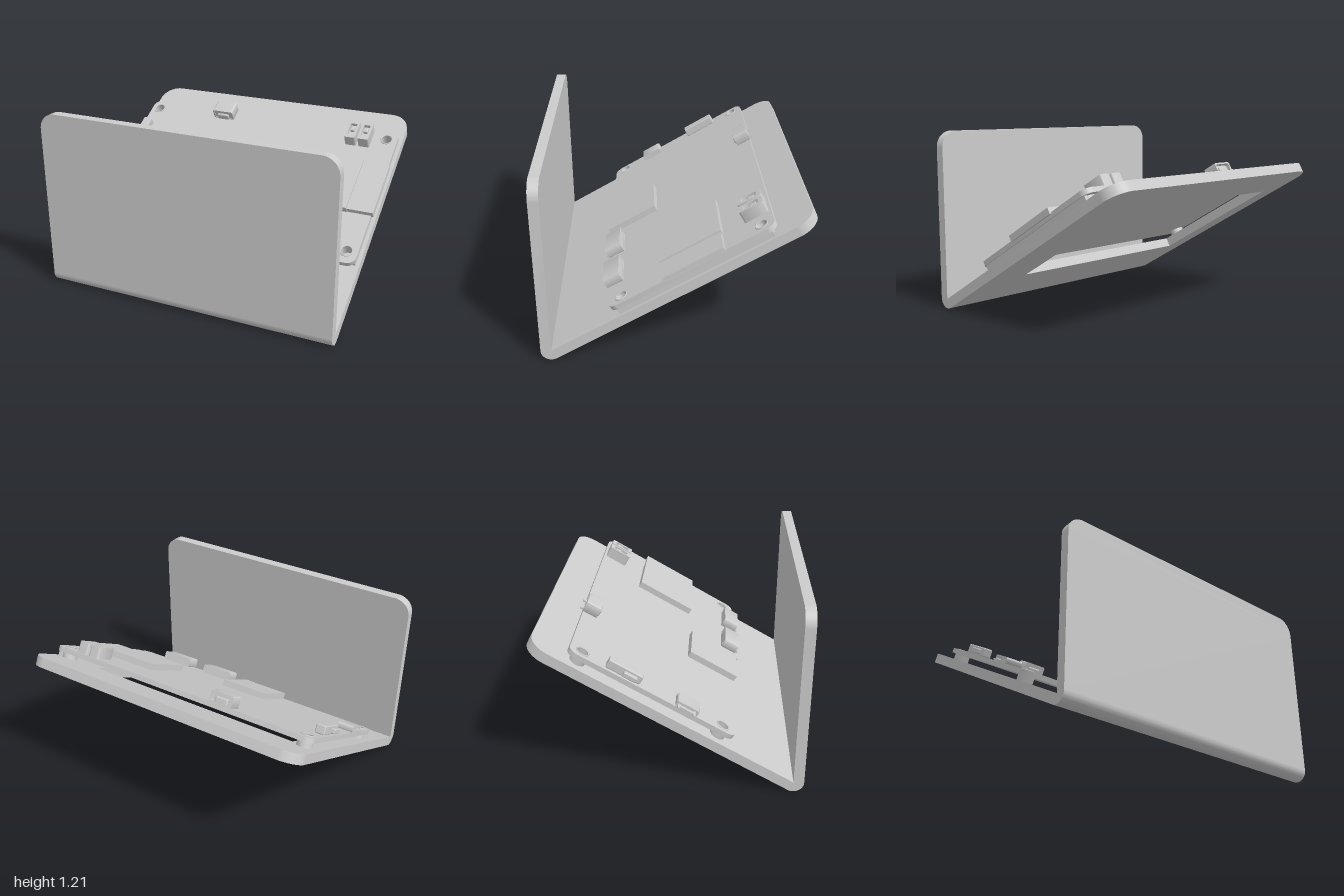
import * as THREE from 'three';
import { toCreasedNormals } from 'three/addons/utils/BufferGeometryUtils.js';
import { RoundedBoxGeometry } from 'three/addons/geometries/RoundedBoxGeometry.js';

const T = 0.066; // thickness of the folded stand
const BOARD_TOP = 0.073;
const grey = new THREE.MeshStandardMaterial({ color: 0xcccccc });

function add(parent, name, geometry, x = 0, y = 0, z = 0) {
  const mesh = new THREE.Mesh(geometry, grey);
  mesh.name = name;
  mesh.position.set(x, y, z);
  parent.add(mesh);
  return mesh;
}

// Rectangle with separate corner radii for the low and high edges
function roundRect(x0, y0, x1, y1, rLow, rHigh, PathType = THREE.Shape) {
  const p = new PathType();
  p.moveTo(x0 + rLow, y0);
  p.lineTo(x1 - rLow, y0);
  if (rLow) p.absarc(x1 - rLow, y0 + rLow, rLow, -Math.PI / 2, 0);
  p.lineTo(x1, y1 - rHigh);
  if (rHigh) p.absarc(x1 - rHigh, y1 - rHigh, rHigh, 0, Math.PI / 2);
  p.lineTo(x0 + rHigh, y1);
  if (rHigh) p.absarc(x0 + rHigh, y1 - rHigh, rHigh, Math.PI / 2, Math.PI);
  p.lineTo(x0, y0 + rLow);
  if (rLow) p.absarc(x0 + rLow, y0 + rLow, rLow, Math.PI, Math.PI * 1.5);
  return p;
}

function extrude(shape, depth) {
  const g = new THREE.ExtrudeGeometry(shape, { depth, bevelEnabled: false, curveSegments: 12 });
  return toCreasedNormals(g, 0.6);
}

// Box given by its limits along x, along the slope and above it
function block(parent, name, x0, x1, y0, y1, z0, z1, r = 0) {
  const s = [x1 - x0, y1 - y0, z1 - z0];
  const g = r ? new RoundedBoxGeometry(...s, 2, r) : new THREE.BoxGeometry(...s);
  return add(parent, name, g, (x0 + x1) / 2, (y0 + y1) / 2, (z0 + z1) / 2);
}

// Edge socket: hollow shell opening toward local -y, with tongue and side tabs
function socket(name, w, d, h) {
  const g = new THREE.Group();
  g.name = name;
  const shell = roundRect(-w / 2, 0, w / 2, h, 0.008, 0.012);
  shell.holes.push(roundRect(-w / 2 + 0.012, 0.011, w / 2 - 0.012, h - 0.011, 0.004, 0.004, THREE.Path));
  const tube = add(g, 'socketShell', extrude(shell, d), 0, d / 2, 0);
  tube.rotation.x = Math.PI / 2;
  block(g, 'socketCore', -w / 2 + 0.01, w / 2 - 0.01, -d * 0.2, d / 2 - 0.004, 0.008, h - 0.008);
  block(g, 'socketTongue', -w * 0.3, w * 0.3, -d * 0.4, 0, h * 0.42, h * 0.58);
  for (const s of [-1, 1]) {
    block(g, 'socketTab', s * w * 0.36 - 0.006, s * w * 0.36 + 0.006, -d / 2 - 0.02, -d / 2 + 0.01, 0, 0.012);
  }
  return g;
}

function place(parent, part, x, y, turn = 0) {
  part.position.set(x, y, BOARD_TOP);
  part.rotation.z = turn;
  parent.add(part);
}

// Push button block with recessed rocker
function button(name, w, d, h) {
  const g = new THREE.Group();
  g.name = name;
  const rim = roundRect(-w / 2, -d / 2, w / 2, d / 2, 0.01, 0.01);
  rim.holes.push(roundRect(-w * 0.3, -d * 0.32, w * 0.3, d * 0.32, 0.006, 0.006, THREE.Path));
  add(g, 'buttonHousing', extrude(rim, h));
  block(g, 'buttonFloor', -w * 0.31, w * 0.31, -d * 0.33, d * 0.33, 0, h * 0.7);
  block(g, 'buttonCap', -w * 0.18, w * 0.18, -d * 0.05, d * 0.22, h * 0.6, h * 0.95, 0.006);
  return g;
}

export function createModel() {
  const root = new THREE.Group();
  root.name = 'displayStand';

  // Upright front panel
  add(root, 'frontPanel', extrude(roundRect(-1, T, 1, 1.21, 0, 0.11), T), 0, 0, 0.774);

  // Rounded fold joining the panels
  const fold = new THREE.Shape();
  fold.moveTo(0, 0);
  fold.absarc(0, 0, T, Math.PI, Math.PI * 5 / 3);
  fold.lineTo(0, 0);
  const foldMesh = add(root, 'fold', extrude(fold, 2), -1, T, 0.774);
  foldMesh.rotation.y = Math.PI / 2;

  // Sloping side: local y runs up the slope, local z is its outward normal
  const slope = new THREE.Group();
  slope.name = 'slopingAssembly';
  slope.position.set(0, T, 0.774);
  slope.rotation.x = -Math.PI / 3;
  root.add(slope);

  const panel = roundRect(-1, 0, 1, 1.821, 0, 0.13);
  panel.holes.push(roundRect(-0.82, 0.49, 0.68, 1.5, 0, 0, THREE.Path));
  add(slope, 'backPanel', extrude(panel, T), 0, 0, -T);

  // Circuit board with a screw hole in each corner
  const board = roundRect(-0.97, 0.46, 0.985, 1.597, 0.06, 0.06);
  const screws = [];
  for (const x of [-0.905, 0.91]) for (const y of [0.55, 1.515]) screws.push([x, y]);
  for (const [x, y] of screws) {
    const hole = new THREE.Path();
    hole.absarc(x, y, 0.036, 0, Math.PI * 2, true);
    board.holes.push(hole);
  }
  add(slope, 'circuitBoard', extrude(board, BOARD_TOP - 0.04), 0, 0, 0.04);

  // Ring around each hole and a hollow spacer below it
  for (const [x, y] of screws) {
    add(slope, 'holeRing', new THREE.TorusGeometry(0.039, 0.005, 6, 24), x, y, BOARD_TOP);
    const ring = new THREE.Shape().absarc(0, 0, 0.05, 0, Math.PI * 2);
    ring.holes.push(new THREE.Path().absarc(0, 0, 0.036, 0, Math.PI * 2, true));
    add(slope, 'spacer', extrude(ring, 0.04), x, y, 0);
  }
  block(slope, 'supportRail', 0.955, 0.975, 0.5, 1.56, 0, 0.04);

  // Card holder with a card reaching past the board edge
  block(slope, 'cardHolder', 0.405, 0.82, 0.846, 1.273, BOARD_TOP, 0.116);
  block(slope, 'card', 0.8, 1, 0.85, 1.268, BOARD_TOP - 0.01, 0.104);

  // Wide flat socket on the front edge
  block(slope, 'wideSocket', -0.27, 0.065, 0.462, 0.825, BOARD_TOP, 0.115);
  block(slope, 'wideSocketLip', 0, 0.065, 0.448, 0.47, BOARD_TOP, 0.115);

  // Small sockets along the edges
  for (const x of [0.275, 0.635]) {
    place(slope, socket('frontSocket', 0.23, 0.115, 0.064), x, 0.505);
  }
  place(slope, socket('sideSocket', 0.15, 0.11, 0.04), -0.915, 0.81, -Math.PI / 2);
  place(slope, socket('rearSocket', 0.16, 0.1, 0.075), -0.34, 1.552, Math.PI);
  block(slope, 'rearSocketBase', -0.385, -0.295, 1.49, 1.6, BOARD_TOP, 0.12, 0.01);

  // Slide switch on the side edge
  block(slope, 'slideSwitch', -0.95, -0.885, 1.13, 1.36, BOARD_TOP, 0.132, 0.008);
  block(slope, 'slideSwitchLever', -0.975, -0.94, 1.16, 1.25, BOARD_TOP + 0.01, 0.115, 0.006);

  // Pair of buttons at the rear
  for (const x of [0.675, 0.77]) place(slope, button('rearButton', 0.078, 0.16, 0.08), x, 1.5);

  return root;
}
